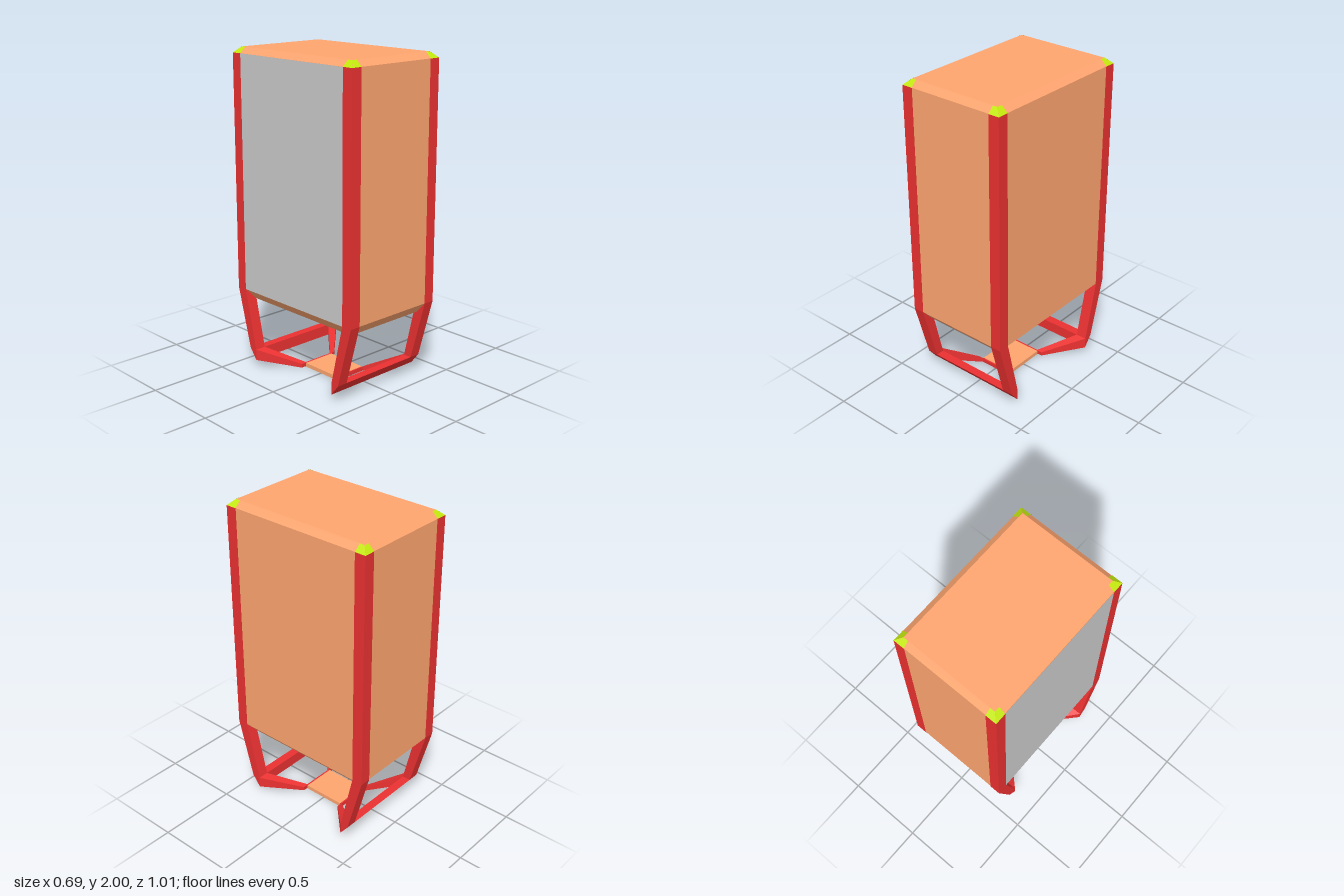
import * as THREE from 'three';

const material = (color, side = THREE.FrontSide) =>
  new THREE.MeshStandardMaterial({ color, side, flatShading: true });

// Joins convex cross-sections (counter-clockwise about the loft axis) into a capped, faceted solid
function loft(rings) {
  const pos = [];
  const tri = (a, b, c) => pos.push(...a, ...b, ...c);
  const cap = (r) => { for (let i = 1; i < r.length - 1; i++) tri(r[0], r[i], r[i + 1]); };
  for (let k = 0; k < rings.length - 1; k++) {
    const a = rings[k], b = rings[k + 1], n = a.length;
    for (let i = 0; i < n; i++) {
      const j = (i + 1) % n;
      tri(a[i], a[j], b[j]);
      tri(a[i], b[j], b[i]);
    }
  }
  cap([...rings[0]].reverse());
  cap(rings[rings.length - 1]);
  const g = new THREE.BufferGeometry();
  g.setAttribute('position', new THREE.Float32BufferAttribute(pos, 3));
  g.computeVertexNormals();
  return g;
}

// Horizontal rectangle of half sizes hx, hz at height y
const rect = (hx, hz, y) => [[hx, y, hz], [hx, y, -hz], [-hx, y, -hz], [-hx, y, hz]];
// Upright rectangle at depth z
const upright = (x0, x1, y0, y1, z) => [[x0, y0, z], [x1, y0, z], [x1, y1, z], [x0, y1, z]];
// Profile of [z, y] points pushed along x
const alongX = (profile, x0, x1) => loft([x0, x1].map((x) => profile.map(([z, y]) => [x, y, z])));

export function createModel() {
  const model = new THREE.Group();
  const orange = material(0xffa56f);
  const red = material(0xeb3131);
  const green = material(0xc4e90d, THREE.DoubleSide);
  const grey = material(0xcccccc, THREE.DoubleSide);

  const add = (name, geometry, mat, parent = model) => {
    const mesh = new THREE.Mesh(geometry, mat);
    mesh.name = name;
    parent.add(mesh);
    return mesh;
  };

  const W = 0.345, D = 0.505, T = 0.07, LOW = 0.5, HIGH = 1.965;

  // Cabinet: recessed underside, tapered bottom, straight walls, bevelled top
  add('cabinet', loft([
    rect(0.13, 0.165, 0.44),
    rect(0.19, 0.35, 0.41),
    rect(0.28, 0.44, 0.43),
    rect(W - 0.002, D - 0.002, LOW),
    rect(W - 0.002, D - 0.002, HIGH),
    rect(0.305, 0.467, 2),
  ]), orange);

  // Plain side panel
  const panel = add('sidePanel', new THREE.PlaneGeometry(2 * (D - T), HIGH - LOW), grey);
  panel.rotation.y = -Math.PI / 2;
  panel.position.set(-W, (LOW + HIGH) / 2, 0);

  // Parts shared by the four corners
  const postGeo = new THREE.BoxGeometry(T, HIGH - LOW, T);
  postGeo.translate(W - T / 2, (LOW + HIGH) / 2, D - T / 2);
  const legGeo = alongX([[D - T, LOW], [D, LOW], [0.4, 0.12], [0.345, 0.05], [0.345, 0.12]], W - T, W);
  const strutGeo = loft([
    upright(0.1, 0.14, 0, 0.025, 0.145),
    upright(W - T, W, 0.05, 0.12, 0.345),
  ]);

  // Corner cap: two strips lying on the top bevel
  const e = 0.001;
  const capGeo = new THREE.BufferGeometry();
  capGeo.setAttribute('position', new THREE.Float32BufferAttribute([
    W - T, HIGH, D, W, HIGH, D, 0.305, 2, 0.467 + e,
    W - T, HIGH, D, 0.305, 2, 0.467 + e, W - T, 2, 0.467 + e,
    W, HIGH, D, W, HIGH, D - T, 0.305 + e, 2, D - T,
    W, HIGH, D, 0.305 + e, 2, D - T, 0.305 + e, 2, 0.467,
  ], 3));
  capGeo.computeVertexNormals();

  for (const sx of [1, -1]) {
    for (const sz of [1, -1]) {
      const corner = new THREE.Group();
      corner.name = (sz > 0 ? 'front' : 'back') + (sx > 0 ? 'Left' : 'Right') + 'Corner';
      corner.scale.set(sx, 1, sz);
      add('cornerPost', postGeo, red, corner);
      add('leg', legGeo, red, corner);
      add('strut', strutGeo, red, corner);
      add('cornerCap', capGeo, green, corner);
      model.add(corner);
    }
  }

  // Crossbars between the feet, and the edges of the low platform
  const barGeo = alongX([[0.4, 0.12], [0.345, 0.05], [0.345, 0.12]], -(W - T), W - T);
  for (const sz of [1, -1]) {
    add('crossbar', barGeo, red).scale.z = sz;
    add('platformEdge', new THREE.BoxGeometry(0.22, 0.025, 0.01), red).position.set(0, 0.0125, sz * 0.145);
  }

  // Low platform
  add('platform', new THREE.BoxGeometry(0.22, 0.025, 0.28), orange).position.y = 0.0125;

  return model;
}
